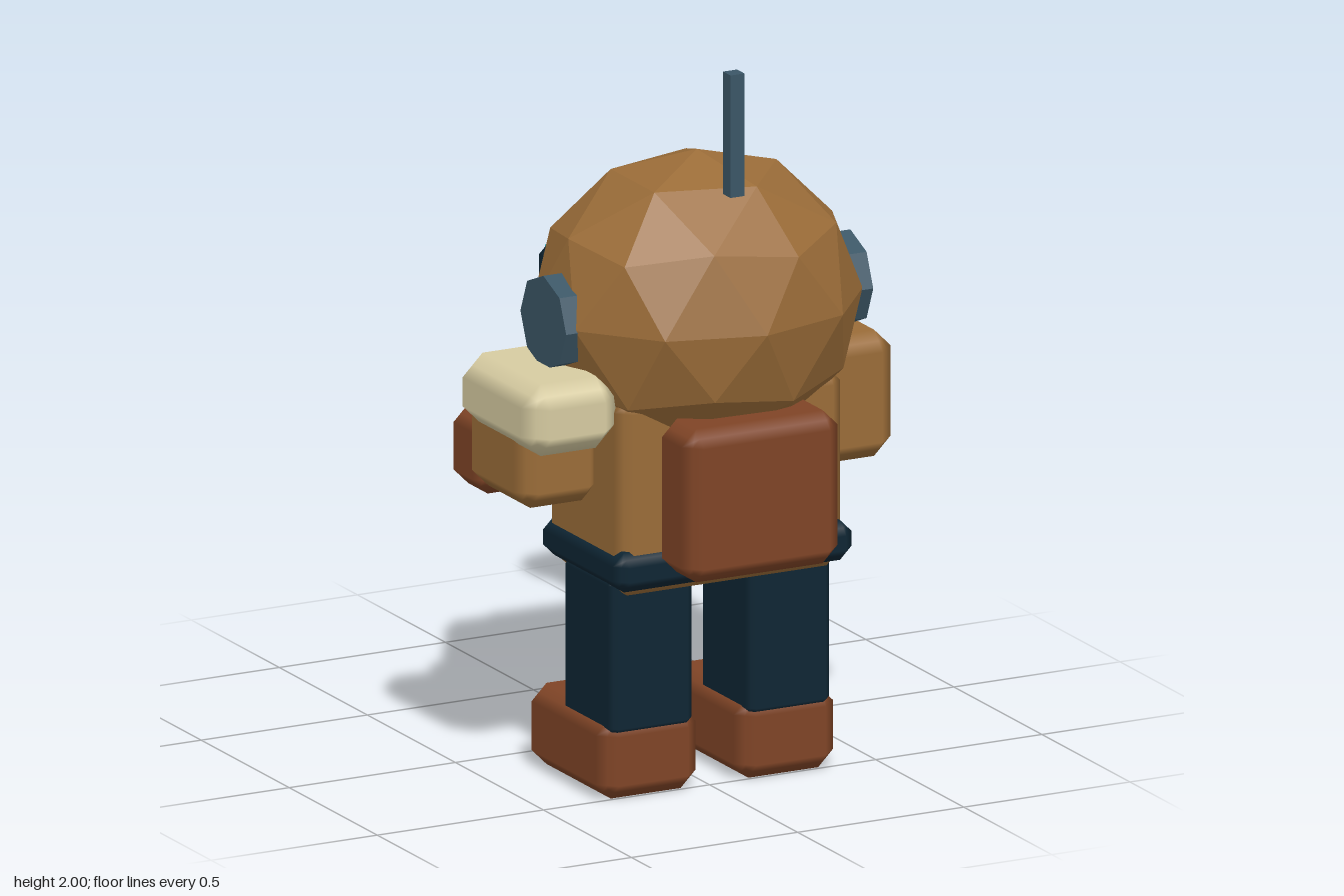
import * as THREE from 'three';
import { RoundedBoxGeometry } from 'three/addons/geometries/RoundedBoxGeometry.js';

const paint = (name, color) => {
  const m = new THREE.MeshStandardMaterial({ color });
  m.name = name;
  return m;
};

export function createModel() {
  const tan = paint('tan', 0x9a6c38);
  const rust = paint('rust', 0x7f4426);
  const slate = paint('slate', 0x3b5666);
  const navy = paint('navy', 0x0e2533);
  const gold = paint('gold', 0xd9952d);
  const cream = paint('cream', 0xd6cba1);
  const cyan = paint('cyan', 0x35b8c8);

  const model = new THREE.Group();
  model.name = 'armouredExplorer';

  const add = (name, geometry, material) => {
    const mesh = new THREE.Mesh(geometry, material);
    mesh.name = name;
    model.add(mesh);
    return mesh;
  };

  // Box with softly shaded chamfered edges, given by its extents
  const block = (name, material, [x0, x1], [y0, y1], [z0, z1], r) => {
    const g = new RoundedBoxGeometry(x1 - x0, y1 - y0, z1 - z0, 1, r);
    const p = g.attributes.position, n = g.attributes.normal;
    const v = new THREE.Vector3(), d = new THREE.Vector3();
    for (let i = 0; i < p.count; i++) {
      d.fromBufferAttribute(n, i);
      const l1 = Math.abs(d.x) + Math.abs(d.y) + Math.abs(d.z);
      v.fromBufferAttribute(p, i).addScaledVector(d, r / l1 - r);
      p.setXYZ(i, v.x, v.y, v.z);
    }
    add(name, g, material).position.set((x0 + x1) / 2, (y0 + y1) / 2, (z0 + z1) / 2);
  };

  // Eight-sided faceted cylinder along x or z
  const octagon = (name, material, radius, length, axis, x, y, z) => {
    const g = new THREE.CylinderGeometry(radius, radius, length, 8).toNonIndexed();
    g.computeVertexNormals();
    if (axis === 'x') g.rotateZ(Math.PI / 2);
    else g.rotateX(Math.PI / 2);
    add(name, g, material).position.set(x, y, z);
  };

  const cx = 0.02;

  // Faceted helmet, one vertex pointing straight up
  const helmet = new THREE.IcosahedronGeometry(1, 1);
  helmet.rotateZ(-Math.atan(2 / (1 + Math.sqrt(5))));
  helmet.scale(0.455, 0.413, 0.402);
  helmet.computeVertexNormals();
  add('helmet', helmet, tan).position.set(cx, 1.32, 0.39);

  // Visor, glowing slit, chin guard and antenna
  block('visor', navy, [-0.27, 0.31], [1.17, 1.45], [-0.018, 0.11], 0.06);
  block('visorLight', cyan, [-0.21, 0.025], [1.355, 1.388], [-0.04, -0.031], 0.002);
  block('chinGuard', cream, [-0.17, 0.21], [1.09, 1.17], [0.03, 0.2], 0.03);
  add('antenna', new THREE.BoxGeometry(0.042, 0.34, 0.042), slate).position.set(cx, 1.83, 0.6);

  // Ear discs
  for (const s of [-1, 1]) {
    octagon('earDisc', slate, 0.13, 0.1, 'x', cx + s * 0.412, 1.315, 0.39);
  }

  // Torso
  block('torso', tan, [-0.32, 0.36], [0.58, 1.13], [0.17, 0.6], 0.04);
  block('chestPlate', cream, [-0.19, 0.23], [0.77, 1.08], [0.1, 0.22], 0.03);
  block('backpack', rust, [-0.215, 0.255], [0.65, 1.075], [0.59, 0.79], 0.045);
  block('belt', navy, [-0.34, 0.38], [0.6, 0.71], [0.16, 0.625], 0.035);
  block('buckle', gold, [-0.04, 0.08], [0.6, 0.71], [0.1, 0.18], 0.022);

  // Legs, knee pads and boots
  for (const s of [-1, 1]) {
    const x = cx + s * 0.207;
    block('leg', navy, [x - 0.126, x + 0.126], [0.18, 0.62], [0.25, 0.535], 0.022);
    block('kneePad', tan, [x - 0.09, x + 0.09], [0.335, 0.505], [0.185, 0.28], 0.03);
    block('boot', rust, [x - 0.15, x + 0.15], [0, 0.225], [0.08, 0.535], 0.045);
  }

  // Arm with the hand and shoulder pad
  block('upperArm', tan, [-0.545, -0.29], [0.815, 1.16], [0.13, 0.465], 0.05);
  block('hand', rust, [-0.53, -0.295], [0.785, 1.005], [0, 0.2], 0.045);
  block('shoulderPad', cream, [-0.595, -0.31], [1, 1.2], [0.16, 0.61], 0.06);

  // Arm with the cannon
  block('upperArm', tan, [0.335, 0.59], [0.815, 1.165], [0.13, 0.465], 0.05);
  block('forearm', rust, [0.335, 0.575], [0.78, 1.005], [-0.01, 0.24], 0.045);
  block('cannonBody', slate, [0.288, 0.55], [0.76, 0.99], [-0.395, 0.03], 0.03);
  block('cannonButton', gold, [0.38, 0.458], [0.985, 1.055], [-0.28, -0.15], 0.02);
  octagon('cannonBarrel', navy, 0.09, 0.39, 'z', 0.418, 0.9, -0.545);
  octagon('cannonMuzzle', gold, 0.113, 0.07, 'z', 0.418, 0.9, -0.765);

  return model;
}
